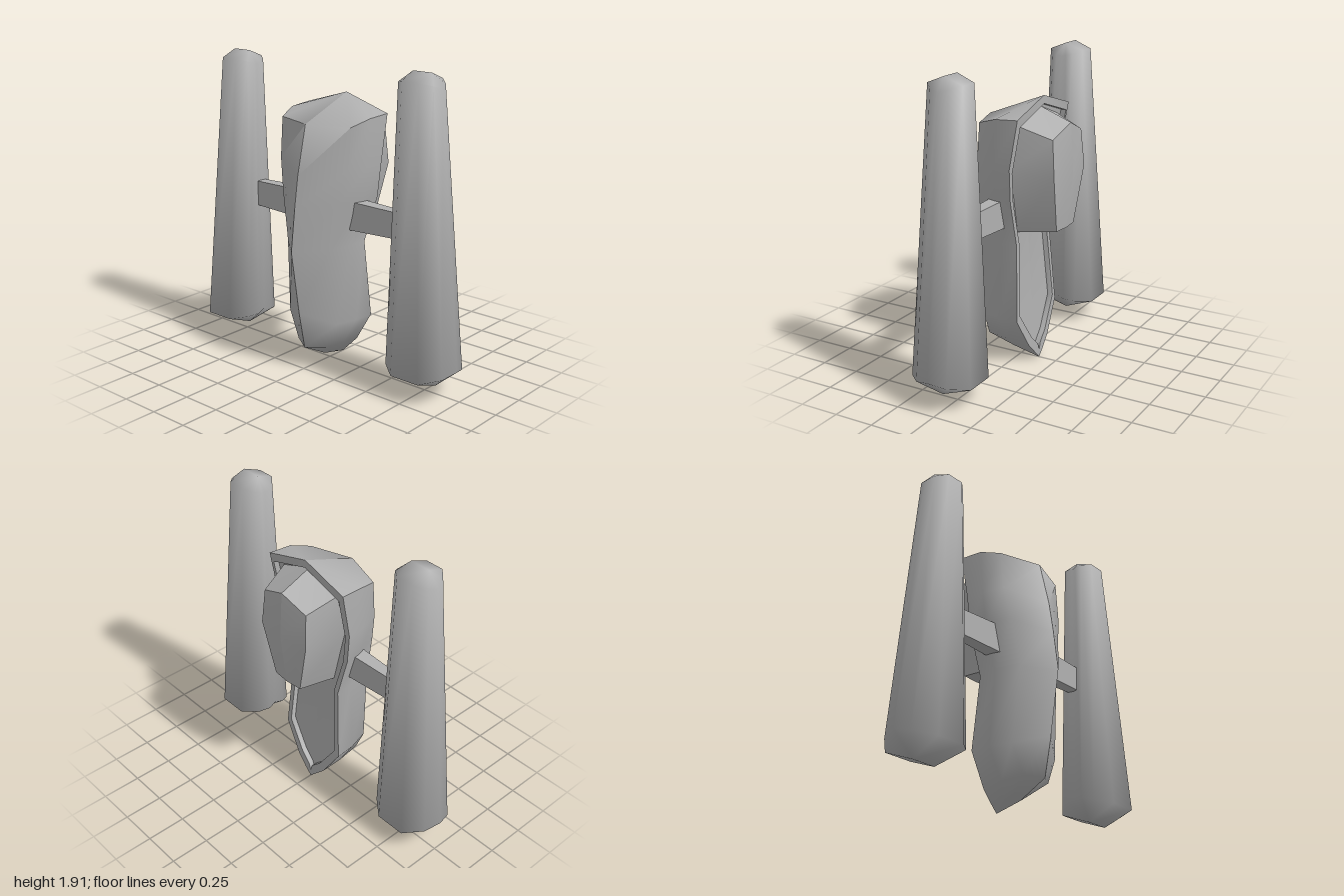
import * as THREE from 'three';
import { mergeGeometries, toCreasedNormals } from 'three/addons/utils/BufferGeometryUtils.js';

const material = new THREE.MeshStandardMaterial({ color: 0xb0b0b0 });

// Mirror rows of points across x = 0, reversing columns so faces still point outwards.
const mirror = rows => rows.map(r => r.map(([x, y, z]) => [-x, y, z]).reverse());

// Skin a grid of points (rows run top to bottom); collapsed triangles are dropped.
function skin(rows, crease) {
  const pos = [];
  const tri = (...p) => {
    const [a, b, c] = p.map(q => new THREE.Vector3(...q));
    if (b.sub(a).cross(c.sub(a)).length() > 1e-7) pos.push(...p.flat());
  };
  for (let i = 0; i < rows.length - 1; i++)
    for (let j = 0; j < rows[i].length - 1; j++) {
      const a = rows[i][j], b = rows[i][j + 1], c = rows[i + 1][j], d = rows[i + 1][j + 1];
      tri(a, c, b);
      tri(b, c, d);
    }
  const g = new THREE.BufferGeometry();
  g.setAttribute('position', new THREE.Float32BufferAttribute(pos, 3));
  return toCreasedNormals(g, crease);
}

// Two mirrored halves, smoothed separately so the centre line stays sharp.
const halves = (rows, crease) => mergeGeometries([skin(rows, crease), skin(mirror(rows), crease)]);

function part(name, geometry) {
  const mesh = new THREE.Mesh(geometry, material);
  mesh.name = name;
  return mesh;
}

// Keeled hull: each row is keel, chine, side and rim, then the inset back panel is derived.
function hullGeometry() {
  const top = [0, 1.695, -0.155], tip = [0, 0, -0.13];
  const outer = [
    [top, top, top, top],
    [[0, 1.55, 0.22], [0.27, 1.55, 0.13], [0.31, 1.59, 0], [0.317, 1.6, -0.155]],
    [[0, 1.25, 0.29], [0.268, 1.3, 0.15], [0.307, 1.3, 0.02], [0.317, 1.3, -0.1]],
    [[0, 1.05, 0.32], [0.23, 1.1, 0.175], [0.28, 1.1, 0.02], [0.297, 1.1, -0.095]],
    [[0, 0.79, 0.352], [0.17, 0.8, 0.2], [0.2, 0.8, 0.03], [0.207, 0.8, -0.085]],
    [[0, 0.38, 0.288], [0.195, 0.32, 0.16], [0.235, 0.32, 0.02], [0.245, 0.32, -0.11]],
    [[0, 0.14, 0.24], [0.115, 0.15, 0.17], [0.13, 0.14, 0.02], [0.12, 0.12, -0.125]],
    [[0, 0.04, 0.05], [0.04, 0.06, 0.03], [0.055, 0.06, -0.05], [0.05, 0.05, -0.13]],
    [tip, tip, tip, tip],
  ];
  const rows = outer.map(r => {
    const [x, y, z] = r[3];
    const ix = Math.max(0, x - 0.035), iy = 0.05 + (y / 1.69) * 1.59;
    return [...r, [ix, iy, z], [ix, iy, z + 0.035], [0, iy, z + 0.035]];
  });
  return halves(rows, 1.1);
}

// Rear pod: each row is base, ridge and spine.
function podGeometry() {
  const top = [0, 1.64, -0.1], low = [0, 0.845, -0.1];
  const rows = [
    [top, top, top],
    [[0.235, 1.55, -0.1], [0.18, 1.475, -0.312], [0, 1.55, -0.335]],
    [[0.245, 1.27, -0.05], [0.195, 1.25, -0.33], [0, 1.25, -0.355]],
    [[0.14, 0.865, -0.04], [0.11, 0.9, -0.305], [0, 0.9, -0.315]],
    [low, low, low],
  ];
  return halves(rows, 0.55);
}

// Tapered, fully smoothed pods with wedge-shaped ends and a faint groove on the inner side.
function nacelleRows() {
  const ring = [
    [-0.42, 1], [0.42, 1], [0.86, 0.5], [1, 0], [0.86, -0.5], [0.42, -1], [-0.42, -1],
    [-0.86, -0.6], [-1, -0.28], [-0.95, 0], [-1, 0.28], [-0.86, 0.6], [-0.42, 1],
  ];
  const z0 = 0.035;
  const body = (cx, y, rx, rz, lift) =>
    ring.map(([x, z]) => [cx + x * rx, y + lift * Math.abs(z), z0 + z * rz]);
  const ridge = (cx, y, w) =>
    ring.map(([x]) => [cx + THREE.MathUtils.clamp(x * 9, -1, 1) * w, y, z0]);
  return [
    ridge(0.705, 1.91, 0.065),
    body(0.705, 1.83, 0.135, 0.115, 0.035),
    body(0.77, 0.2, 0.23, 0.202, -0.05),
    ridge(0.77, 0.07, 0.08),
  ];
}

// Flat strut that narrows slightly towards the outer end.
function strutGeometry() {
  const g = new THREE.BoxGeometry(0.42, 0.18, 0.1);
  const p = g.attributes.position;
  for (let i = 0; i < p.count; i++)
    if (p.getX(i) > 0) p.setXYZ(i, p.getX(i), p.getY(i) * 0.88, p.getZ(i) * 0.65);
  g.computeVertexNormals();
  return g;
}

export function createModel() {
  const model = new THREE.Group();
  model.name = 'spacecraft';
  model.add(part('hull', hullGeometry()), part('rearPod', podGeometry()));

  const left = nacelleRows();
  model.add(part('leftNacelle', skin(left, Math.PI)));
  model.add(part('rightNacelle', skin(mirror(left), Math.PI)));

  for (const side of [1, -1]) {
    const strut = part(side > 0 ? 'leftStrut' : 'rightStrut', strutGeometry());
    strut.position.set(side * 0.38, 1.0, 0.03);
    if (side < 0) strut.rotation.y = Math.PI;
    model.add(strut);
  }
  return model;
}
